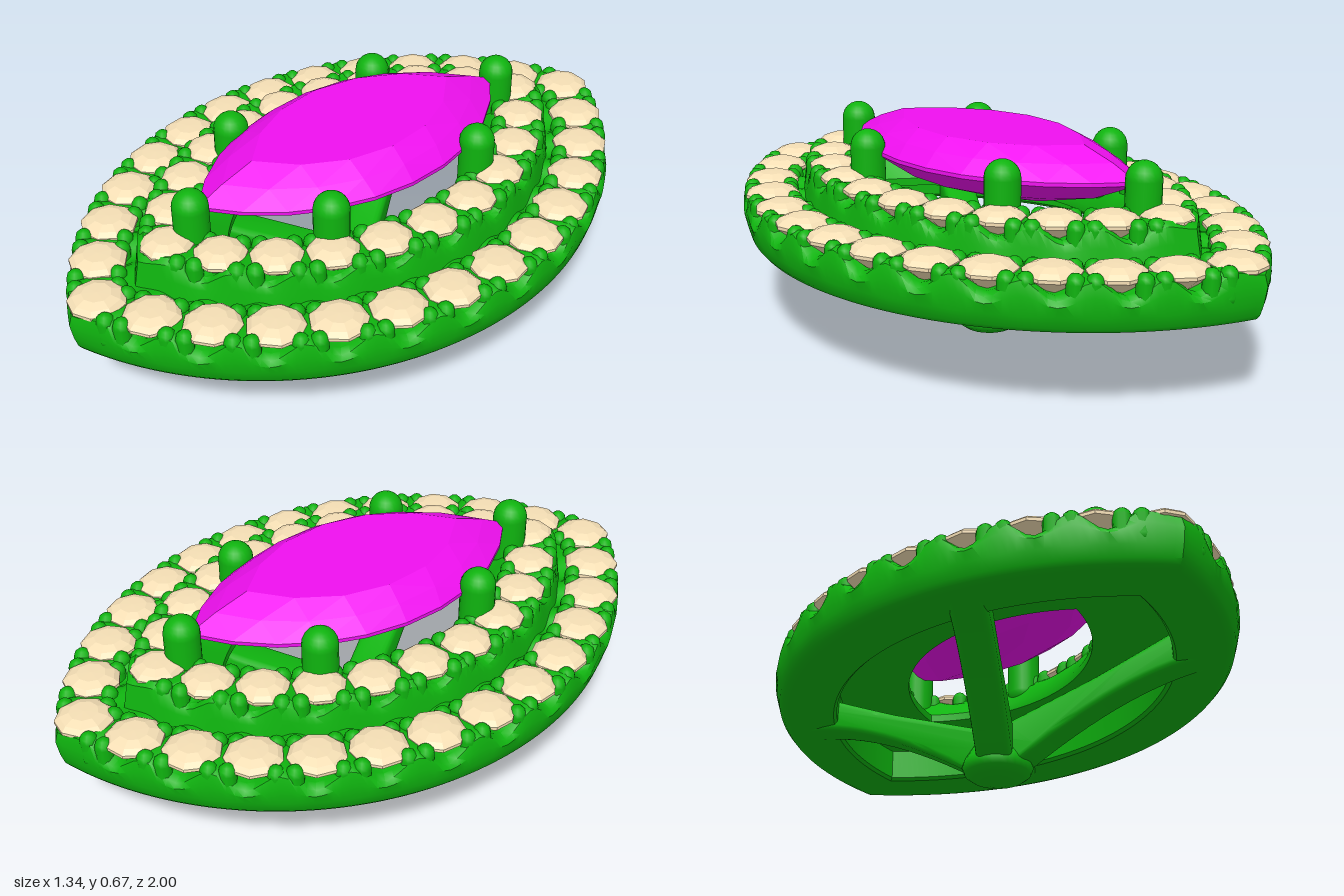
import * as THREE from 'three';
import { mergeGeometries, toCreasedNormals } from 'three/addons/utils/BufferGeometryUtils.js';
import { ConvexGeometry } from 'three/addons/geometries/ConvexGeometry.js';

const metal = new THREE.MeshStandardMaterial({ color: 0x0fb40f });
const pale = new THREE.MeshStandardMaterial({ color: 0xf5dfb5, flatShading: true });
const vivid = new THREE.MeshStandardMaterial({ color: 0xf010f0, flatShading: true });

// Pointed oval made of two arcs, half width a and half length b; u runs 0..1 at even spacing
function oval(a, b, u) {
  const R = (a * a + b * b) / (2 * a);
  const half = Math.asin(Math.min(1, b / R));
  const side = u < 0.5 ? 1 : -1;
  const t = (u < 0.5 ? u : u - 0.5) * 4 - 1;
  const ang = t * half;
  return {
    x: side * (R * Math.cos(ang) - R + a), z: side * R * Math.sin(ang),
    nx: side * Math.cos(ang), nz: side * Math.sin(ang),
  };
}

function add(group, name, geometry, material) {
  const mesh = new THREE.Mesh(geometry, material);
  mesh.name = name;
  group.add(mesh);
  return mesh;
}

// Closed band swept round the oval; profile rows are [a, b, y, depth of the scallop under each stone]
function band(profile, count) {
  const steps = count * 8, rows = profile.length, pos = [], index = [];
  for (let i = 0; i < steps; i++) {
    // shallower scallops at the two pointed ends
    const fromTip = Math.min(i % (steps / 2), steps / 2 - i % (steps / 2));
    const scallop = Math.abs(Math.cos(Math.PI * i / 8)) ** 2 * (fromTip < 4 ? 0.3 : 1);
    for (const [a, b, y, dip] of profile) {
      const p = oval(a, b, i / steps);
      pos.push(p.x, y - dip * scallop, p.z);
    }
  }
  for (let i = 0; i < steps; i++) for (let j = 0; j < rows; j++) {
    const n = ((i + 1) % steps) * rows, c = i * rows, k = (j + 1) % rows;
    index.push(c + j, n + j, c + k, n + j, n + k, c + k);
  }
  const g = new THREE.BufferGeometry();
  g.setAttribute('position', new THREE.Float32BufferAttribute(pos, 3));
  g.setIndex(index);
  return toCreasedNormals(g, 0.7);
}

// Row of round cut stones with four small beads in each gap
function stoneRow(group, name, a, b, y, r, count) {
  const cut = [[0, -0.075], [r, -0.006], [r, 0.004], [r * 0.82, 0.017], [r * 0.5, 0.027], [0, 0.028]];
  const stones = [], beads = [];
  for (let i = 0; i < count; i++) {
    const p = oval(a, b, i / count);
    const s = new THREE.LatheGeometry(cut.map(c => new THREE.Vector2(...c)), 9);
    stones.push(s.rotateY(i * 1.3).translate(p.x, y, p.z));
    const m = oval(a, b, (i + 0.5) / count);
    for (const out of [-0.06, 0.06]) for (const along of [-0.026, 0.026]) {
      const bead = new THREE.CapsuleGeometry(0.027, 0.06, 3, 10);
      bead.translate(m.x + m.nx * out - m.nz * along, y - 0.037, m.z + m.nz * out + m.nx * along);
      beads.push(bead);
    }
  }
  add(group, name + 'Stones', mergeGeometries(stones), pale);
  add(group, name + 'Beads', mergeGeometries(beads), metal);
}

// V-shaped strut, running from the band on one side through the foot to the other
function strut() {
  const s = new THREE.Shape();
  s.moveTo(0, 0.18);
  s.lineTo(0.06, 0.18);
  s.lineTo(0.34, 0.275);
  s.quadraticCurveTo(0.48, 0.33, 0.6, 0.38);
  s.lineTo(0.7, 0.38);
  s.lineTo(0.7, 0.277);
  s.quadraticCurveTo(0.44, 0.265, 0.1, 0.05);
  s.lineTo(-0.1, 0.05);
  s.quadraticCurveTo(-0.44, 0.265, -0.7, 0.277);
  s.lineTo(-0.7, 0.38);
  s.lineTo(-0.6, 0.38);
  s.quadraticCurveTo(-0.48, 0.33, -0.34, 0.275);
  s.lineTo(-0.06, 0.18);
  s.closePath();
  const g = new THREE.ExtrudeGeometry(s, {
    depth: 0.07, bevelEnabled: true, bevelThickness: 0.02, bevelSize: 0.018,
    bevelOffset: -0.018, bevelSegments: 3, curveSegments: 14,
  });
  return toCreasedNormals(g.translate(0, 0, -0.035), 0.6);
}

export function createModel() {
  const model = new THREE.Group();

  // Outer band and its stones
  add(model, 'outerBand', band([
    [0.465, 0.78, 0.42, 0.02], [0.575, 0.905, 0.43, 0.05], [0.64, 0.97, 0.44, 0.055],
    [0.66, 0.99, 0.43, 0.055], [0.67, 1.0, 0.39, 0.03], [0.662, 0.992, 0.33, 0],
    [0.652, 0.982, 0.295, 0], [0.64, 0.972, 0.281, 0], [0.62, 0.955, 0.275, 0],
    [0.48, 0.79, 0.275, 0], [0.47, 0.78, 0.285, 0],
  ], 26), metal);
  stoneRow(model, 'outer', 0.575, 0.905, 0.428, 0.086, 26);

  // Inner band, raised above the outer one, with a sloping wall round the central hole
  add(model, 'innerBand', band([
    [0.25, 0.47, 0.41, 0], [0.285, 0.56, 0.475, 0], [0.31, 0.59, 0.5, 0.015],
    [0.38, 0.67, 0.515, 0.05], [0.445, 0.748, 0.525, 0.05], [0.462, 0.768, 0.51, 0.045],
    [0.47, 0.776, 0.46, 0.015], [0.475, 0.79, 0.385, 0], [0.25, 0.47, 0.385, 0],
  ], 20), metal);
  stoneRow(model, 'inner', 0.38, 0.67, 0.511, 0.079, 20);

  // Large faceted centre gem: table, crown, girdle, pavilion, keel
  const corners = [];
  for (const [a, b, y, n] of [
    [0.19, 0.37, 0.67, 12], [0.243, 0.475, 0.633, 16], [0.285, 0.56, 0.592, 20],
    [0.285, 0.56, 0.58, 20], [0.2, 0.41, 0.515, 12], [0.06, 0.2, 0.465, 6],
  ]) for (let i = 0; i < n; i++) {
    const p = oval(a, b, i / n);
    corners.push(new THREE.Vector3(p.x, y, p.z));
  }
  add(model, 'centreGem', new ConvexGeometry(corners), vivid);

  // Six rounded prongs
  for (const [x, z] of [[0, 0.585], [0, -0.585], [0.255, 0.275], [-0.255, 0.275], [0.255, -0.275], [-0.255, -0.275]]) {
    add(model, 'prong', new THREE.CapsuleGeometry(0.054, 0.14, 6, 20), metal).position.set(x, 0.537, z);
  }

  // Two diagonal struts crossing in a rounded foot
  for (const side of [-1, 1]) add(model, 'strut', strut(), metal).rotation.y = side * 0.93;
  const foot = [[0, 0], [0.04, 0.003], [0.08, 0.014], [0.102, 0.03], [0.11, 0.05], [0.104, 0.07], [0.08, 0.11], [0.05, 0.17], [0, 0.178]];
  add(model, 'foot', new THREE.LatheGeometry(foot.map(p => new THREE.Vector2(...p)), 28), metal);

  return model;
}
